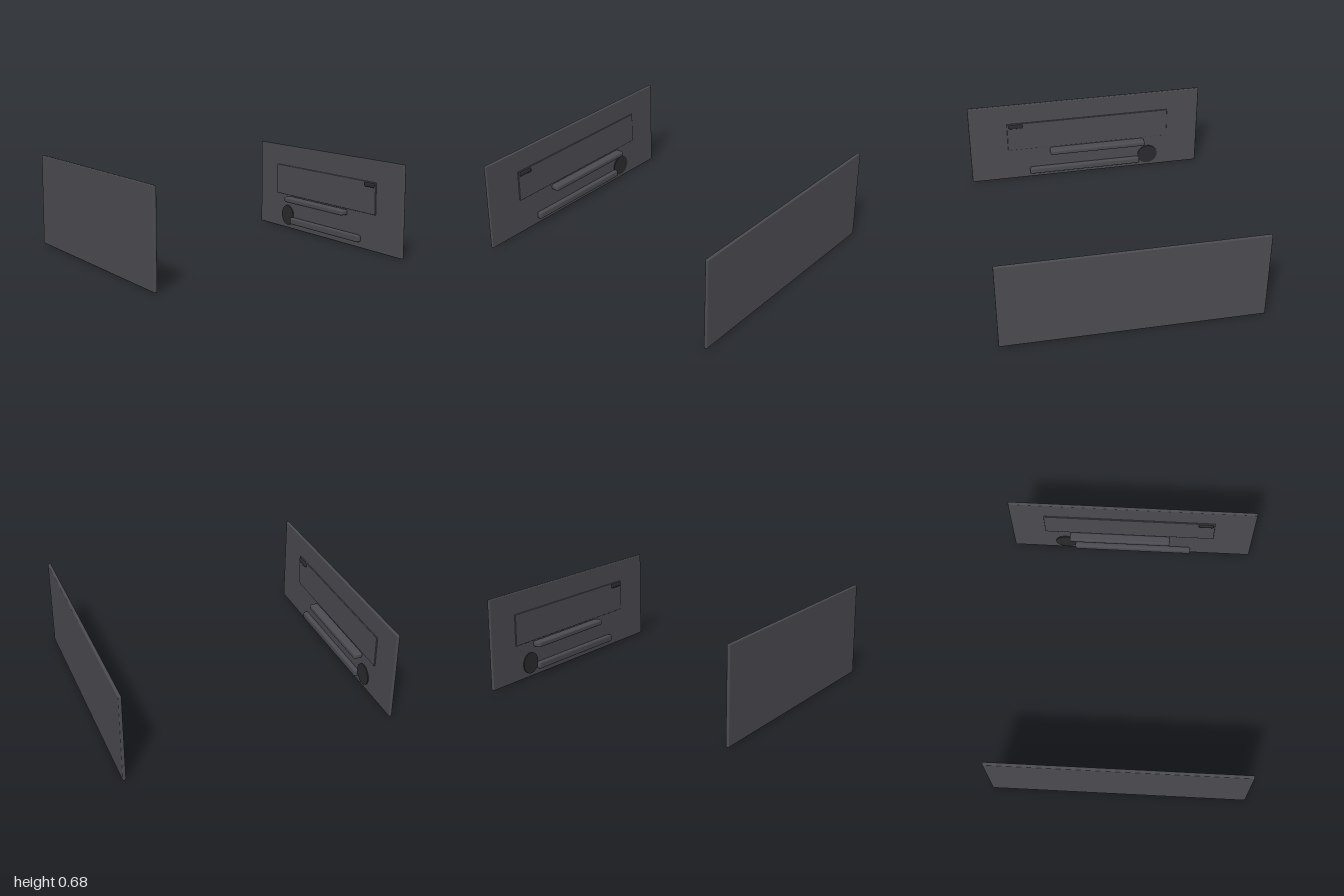
import * as THREE from 'three';
import { RoundedBoxGeometry } from 'three/addons/geometries/RoundedBoxGeometry.js';

const panelGrey = new THREE.MeshStandardMaterial({ color: 0x4a4a50 });
panelGrey.name = 'panelGrey';
const darkTrim = new THREE.MeshStandardMaterial({ color: 0x2a2a2d });
darkTrim.name = 'darkTrim';

// Bevelled block given by its limits on each axis
function block(name, material, [x0, x1], [y0, y1], [z0, z1], radius) {
  const geometry = new RoundedBoxGeometry(x1 - x0, y1 - y0, z1 - z0, 2, radius);
  const mesh = new THREE.Mesh(geometry, material);
  mesh.name = name;
  mesh.position.set((x0 + x1) / 2, (y0 + y1) / 2, (z0 + z1) / 2);
  return mesh;
}

// One door card; side is +1 for the left door and -1 for the right
function doorCard(side) {
  const door = new THREE.Group();
  door.name = side > 0 ? 'leftDoor' : 'rightDoor';
  const add = (name, material, x, y, z, radius) => {
    const xs = x.map((v) => v * side).sort((a, b) => a - b);
    door.add(block(name, material, xs, y, z, radius));
  };

  // Flat outer board and the raised inner pad
  add('doorBoard', panelGrey, [0.976, 1], [0, 0.68], [-0.925, 0.925], 0.008);
  add('upperPad', panelGrey, [0.967, 0.985], [0.275, 0.515], [-0.67, 0.625], 0.004);

  // Armrest, map pocket and release handle
  add('armrest', panelGrey, [0.907, 0.977], [0.226, 0.27], [-0.48, 0.29], 0.015);
  add('mapPocket', panelGrey, [0.938, 0.978], [0.045, 0.1], [-0.445, 0.457], 0.014);
  add('releaseHandle', darkTrim, [0.955, 0.979], [0.476, 0.508], [0.5, 0.612], 0.01);

  // Round speaker grille low at the rear
  const speaker = new THREE.Mesh(new THREE.CylinderGeometry(0.08, 0.08, 0.016, 32), darkTrim);
  speaker.name = 'speaker';
  speaker.rotation.z = Math.PI / 2;
  speaker.position.set(side * 0.976, 0.108, -0.515);
  door.add(speaker);
  return door;
}

export function createModel() {
  const model = new THREE.Group();
  model.name = 'doorCards';
  for (const side of [1, -1]) model.add(doorCard(side));
  return model;
}
